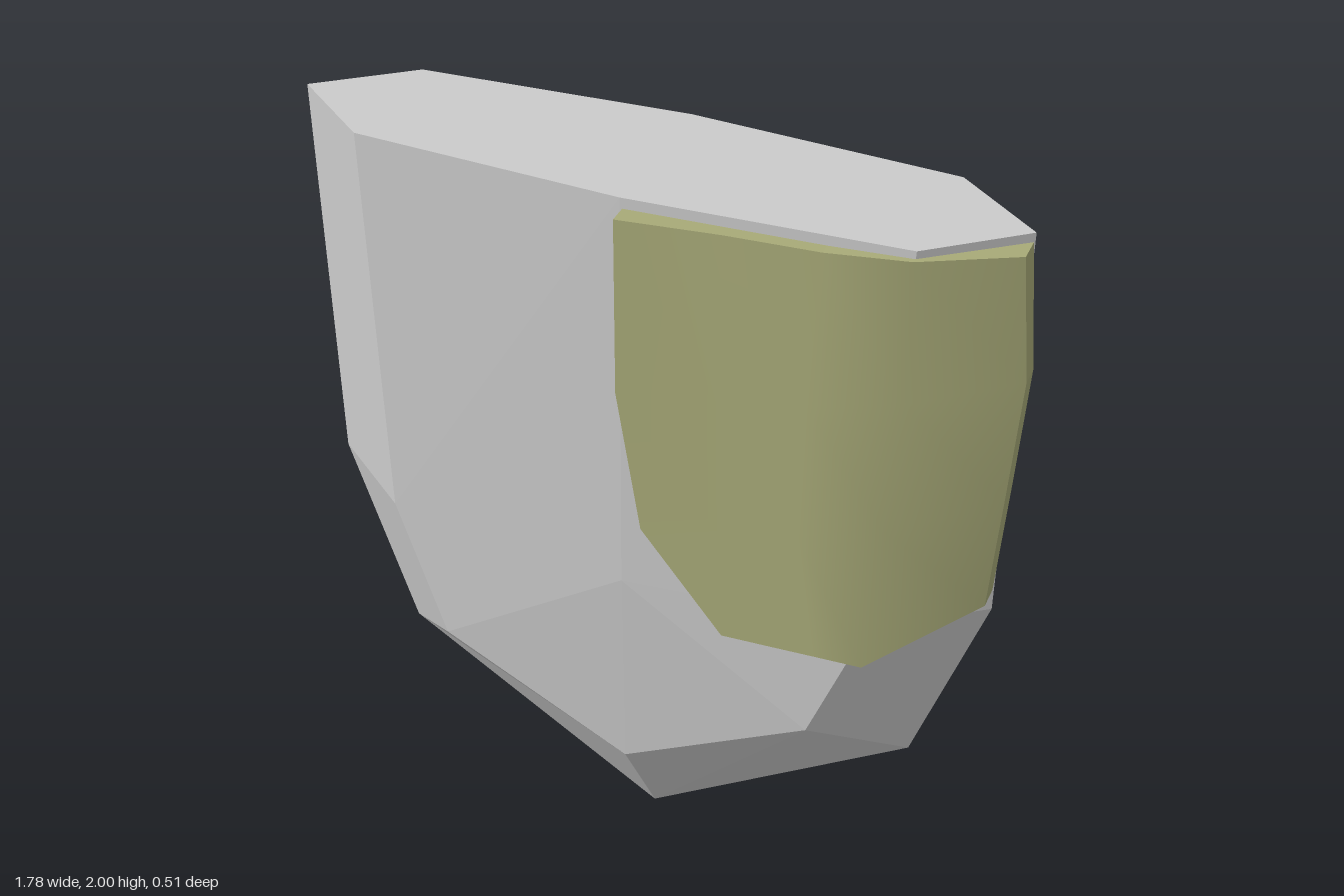
import * as THREE from 'three';

// Collects triangles and quads (corners counter-clockwise from outside) into one geometry.
function faceBuilder() {
  const pos = [];
  const tri = (a, b, c) => pos.push(...a, ...b, ...c);
  const quad = (a, b, c, d) => { tri(a, b, c); tri(a, c, d); };
  const build = () => {
    const g = new THREE.BufferGeometry();
    g.setAttribute('position', new THREE.Float32BufferAttribute(pos, 3));
    g.computeVertexNormals();
    return g;
  };
  return { tri, quad, build };
}

// Shield body: three U-shaped chains, each running from top right down to the tip and up again.
function bodyGeometry() {
  const rim = [[0.86, 2, -0.01], [0.855, 0.97, -0.01], [0.68, 0.45, -0.02], [-0.02, 0, -0.03],
    [-0.71, 0.45, -0.02], [-0.88, 0.97, -0.02], [-0.895, 2, -0.02]];
  const front = [[0.65, 2, 0.16], [0.61, 0.98, 0.18], [0.47, 0.61, 0.185], [-0.02, 0.34, 0.17],
    [-0.51, 0.61, 0.185], [-0.64, 0.98, 0.175], [-0.68, 2, 0.15]];
  const back = [[0.65, 2, -0.18], [0.61, 0.98, -0.225], [0.48, 0.6, -0.235], [-0.02, 0.2, -0.225],
    [-0.42, 0.58, -0.235], [-0.63, 0.98, -0.235], [-0.68, 2, -0.19]];
  const { tri, quad, build } = faceBuilder();

  // Bevels and panels; the back is wound the other way round.
  const side = (chain, topMid, mid, flip) => {
    const t = flip ? (a, b, c) => tri(a, c, b) : tri;
    for (let i = 0; i < 6; i++) {
      t(chain[i], rim[i + 1], rim[i]);
      t(chain[i], chain[i + 1], rim[i + 1]);
      if (i > 0 && i < 5) t(mid, chain[i + 1], chain[i]);
    }
    t(topMid, mid, chain[1]);
    t(topMid, chain[1], chain[0]);
    t(topMid, chain[6], chain[5]);
    t(topMid, chain[5], mid);
  };
  const frontTop = [-0.01, 2, 0.19], backTop = [-0.01, 2, -0.225];
  side(front, frontTop, [-0.01, 0.95, 0.205], false);
  side(back, backTop, [-0.01, 0.95, -0.255], true);

  // Flat top
  quad(frontTop, front[0], back[0], backTop);
  quad(front[6], frontTop, backTop, back[6]);
  tri(front[0], rim[0], back[0]);
  tri(front[6], back[6], rim[6]);
  return build();
}

// Front surface of the plate, row by row from top to bottom, left to right.
const plateRows = [
  [[0, 1.98, 0.25], [0.24, 1.98, 0.222], [0.46, 1.98, 0.208], [0.65, 1.985, 0.18], [0.86, 1.985, 0.07]],
  [[0, 1.53, 0.25], [0.24, 1.57, 0.245], [0.45, 1.6, 0.235], [0.66, 1.64, 0.2], [0.89, 1.67, 0.06]],
  [[0.06, 1.16, 0.25], [0.26, 1.2, 0.25], [0.45, 1.25, 0.25], [0.65, 1.3, 0.225], [0.873, 1.35, 0.065]],
  [[0.27, 0.905, 0.255], [0.39, 0.91, 0.255], [0.5, 0.915, 0.255], [0.62, 0.92, 0.255], [0.855, 1.04, 0.07]],
];

// Depth where the plate rests on the body.
const restDepth = (x) => (x < 0.65 ? 0.2 - 0.05 * x : Math.max(0.005, 0.167 - (x - 0.65) * 0.79));

// Smooth sheet over the grid of rows
function sheetGeometry(rows, flip) {
  const n = rows[0].length, index = [];
  for (let r = 0; r < rows.length - 1; r++) {
    for (let c = 0; c < n - 1; c++) {
      const a = r * n + c, b = a + n;
      if (flip) index.push(a, b + 1, b, a, a + 1, b + 1);
      else index.push(a, b, b + 1, a, b + 1, a + 1);
    }
  }
  const g = new THREE.BufferGeometry();
  g.setAttribute('position', new THREE.Float32BufferAttribute(rows.flat(2), 3));
  g.setIndex(index);
  g.computeVertexNormals();
  return g;
}

// Wall joining the front and rear outlines of the plate
function wallGeometry(frontRows, rearRows) {
  const outline = (rows) => [
    ...rows.map((r) => r[0]),
    ...rows.at(-1).slice(1),
    ...rows.slice(0, -1).reverse().map((r) => r.at(-1)),
    ...rows[0].slice(1, -1).reverse(),
  ];
  const f = outline(frontRows), b = outline(rearRows);
  const { quad, build } = faceBuilder();
  f.forEach((p, i) => {
    const j = (i + 1) % f.length;
    quad(p, b[i], b[j], f[j]);
  });
  return build();
}

export function createModel() {
  const model = new THREE.Group();
  model.name = 'shield';
  const grey = new THREE.MeshStandardMaterial({ color: 0xcccccc, flatShading: true });
  const olive = new THREE.MeshStandardMaterial({ color: 0xa8aa78 });

  const add = (parent, name, geometry, material) => {
    const mesh = new THREE.Mesh(geometry, material);
    mesh.name = name;
    parent.add(mesh);
  };
  add(model, 'shieldBody', bodyGeometry(), grey);

  // Overlay plate on the upper left of the front
  const plate = new THREE.Group();
  plate.name = 'overlayPlate';
  const rear = plateRows.map((row) => row.map(([x, y]) => [x, y, restDepth(x)]));
  add(plate, 'plateFront', sheetGeometry(plateRows, false), olive);
  add(plate, 'plateRear', sheetGeometry(rear, true), olive);
  add(plate, 'plateEdge', wallGeometry(plateRows, rear), olive);
  model.add(plate);
  return model;
}
